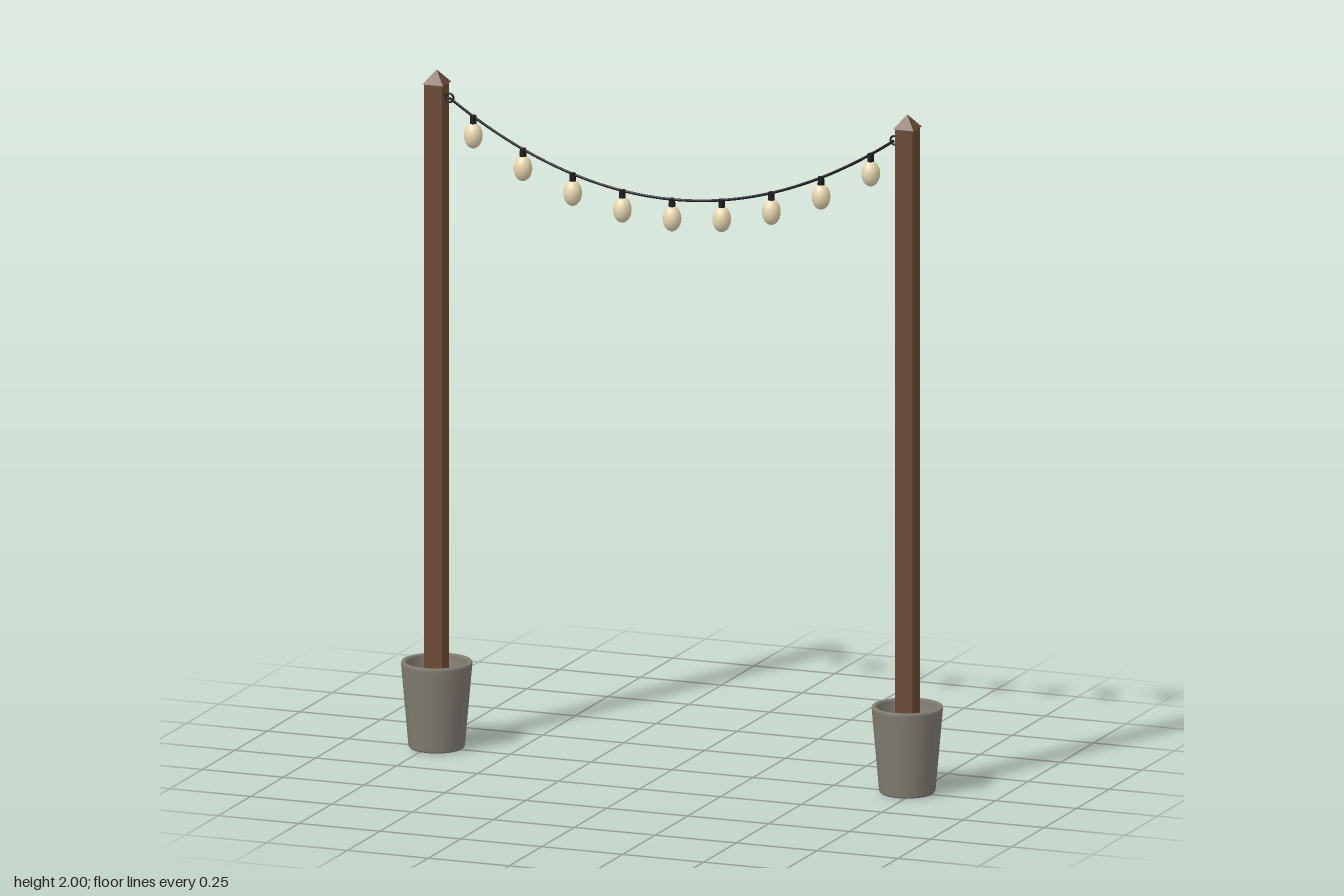
import * as THREE from 'three';

const POST_X = 0.727;
const END_X = 0.688;

const paint = (color, extra = {}) => new THREE.MeshStandardMaterial({ color, ...extra });
const wood = paint(0x6b4a35, { flatShading: true });
const stone = paint(0x817d74);
const black = paint(0x1a1a1a);
const glass = paint(0xe6d8b0);

// height of the sagging cable at x
const cableY = (x) => 1.683 + 0.237 * (x / END_X) ** 2;

function add(parent, name, geometry, material, x = 0, y = 0, z = 0) {
  const mesh = new THREE.Mesh(geometry, material);
  mesh.name = name;
  mesh.position.set(x, y, z);
  parent.add(mesh);
  return mesh;
}

function makePost(side) {
  const group = new THREE.Group();
  group.name = side > 0 ? 'leftPost' : 'rightPost';
  group.position.x = side * POST_X;

  // hollow tapered pot with a thin rim
  const profile = [
    [0, 0], [0.076, 0], [0.081, 0.006], [0.102, 0.244], [0.103, 0.25], [0.101, 0.255],
    [0.092, 0.255], [0.089, 0.25], [0.072, 0.03], [0, 0.03],
  ].map(([r, y]) => new THREE.Vector2(r, y));
  add(group, 'pot', new THREE.LatheGeometry(profile, 32), stone);

  // square pole standing on the pot floor
  add(group, 'pole', new THREE.BoxGeometry(0.055, 1.94, 0.055), wood, 0, 0.99);

  // pyramid cap, slightly wider than the pole
  const cap = new THREE.ConeGeometry(0.032 * Math.SQRT2, 0.04, 4);
  cap.rotateY(Math.PI / 4);
  add(group, 'cap', cap, wood, 0, 1.98);

  // eye ring on the inner face
  add(group, 'eyeRing', new THREE.TorusGeometry(0.013, 0.003, 8, 20), black, side * (END_X - POST_X), 1.92);
  return group;
}

function makeBulb(x) {
  const group = new THREE.Group();
  group.name = 'hangingBulb';
  group.position.set(x, cableY(x), 0);
  add(group, 'socket', new THREE.CylinderGeometry(0.009, 0.01, 0.028, 12), black, 0, -0.011);
  add(group, 'bulb', new THREE.SphereGeometry(0.027, 20, 14), glass, 0, -0.056).scale.y = 1.4;
  return group;
}

export function createModel() {
  const model = new THREE.Group();
  model.name = 'stringLights';
  model.add(makePost(1), makePost(-1));

  // cable hung between the two rings
  const points = [];
  for (let i = 0; i <= 24; i++) {
    const x = END_X * (i / 12 - 1);
    points.push(new THREE.Vector3(x, cableY(x), 0));
  }
  const curve = new THREE.CatmullRomCurve3(points);
  add(model, 'cable', new THREE.TubeGeometry(curve, 64, 0.004, 8), black);

  // nine evenly spaced bulbs
  for (let i = -4; i <= 4; i++) model.add(makeBulb(i * 0.1535));
  return model;
}
